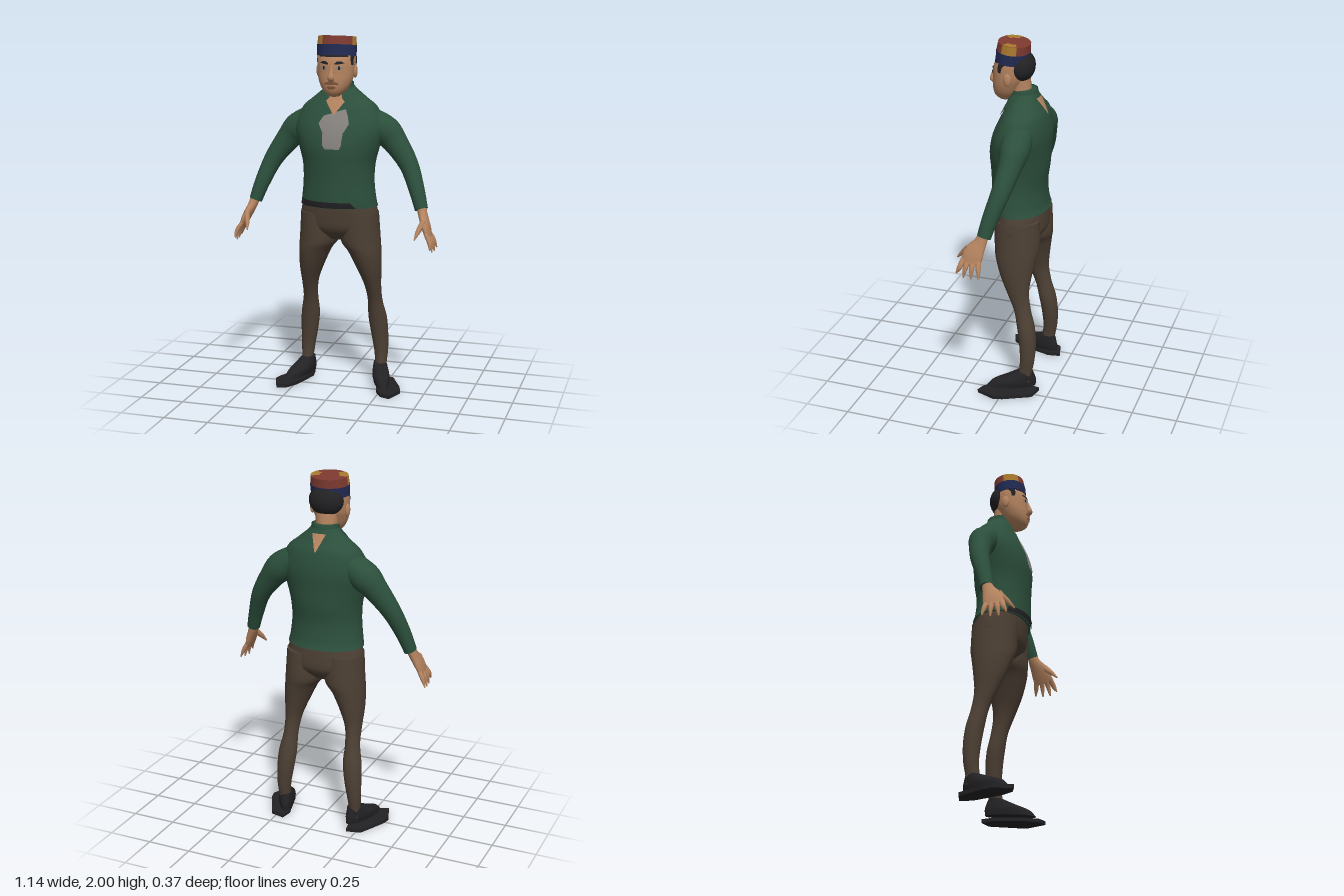
import * as THREE from 'three';

const mat = (name, color, side = THREE.FrontSide) => {
  const m = new THREE.MeshStandardMaterial({ color, side });
  m.name = name;
  return m;
};

// Joins rings of points into a capped, smooth skin
function skinRings(rings) {
  const n = rings[0].length, pos = [], idx = [];
  rings.forEach(r => r.forEach(p => pos.push(p.x, p.y, p.z)));
  for (let i = 0; i < rings.length - 1; i++)
    for (let j = 0; j < n; j++) {
      const a = i * n + j, b = i * n + (j + 1) % n;
      idx.push(a, b, a + n, b, b + n, a + n);
    }
  [rings[0], rings[rings.length - 1]].forEach((r, end) => {
    const s = pos.length / 3;
    r.forEach(p => pos.push(p.x, p.y, p.z));
    for (let j = 1; j < n - 1; j++) end ? idx.push(s, s + j, s + j + 1) : idx.push(s, s + j + 1, s + j);
  });
  const g = new THREE.BufferGeometry();
  g.setAttribute('position', new THREE.Float32BufferAttribute(pos, 3));
  g.setIndex(idx);
  g.computeVertexNormals();
  return g;
}

const curveOf = pts => new THREE.CatmullRomCurve3(pts.map(p => new THREE.Vector3(...p)), false, 'catmullrom');

// Smooths rows [y, xMin, xMax, zFront, zBack], listed from the top down
function smooth(rows, per = 4) {
  const a = curveOf(rows.map(r => r.slice(0, 3))), b = curveOf(rows.map(r => [r[3], r[4], 0]));
  const n = (rows.length - 1) * per;
  return Array.from({ length: n + 1 }, (_, i) => {
    const p = a.getPoint(i / n), q = b.getPoint(i / n);
    return [p.x, p.y, p.z, q.x, q.y];
  });
}
const even = rows => rows.map(([y, w, f, b]) => [y, -w, w, f, b]);

// Level oval sections stacked along y
const stack = (rows, n = 28) => skinRings(rows.map(([y, x0, x1, f, b]) =>
  Array.from({ length: n }, (_, j) => {
    const t = j / n * Math.PI * 2;
    return new THREE.Vector3((x0 + x1) / 2 + (x1 - x0) / 2 * Math.cos(t), y, (f + b) / 2 + (f - b) / 2 * Math.sin(t));
  })));

// Oval limb along points [x, y, z, half width, half depth]
function limb(pts, n = 16, per = 4) {
  const c = curveOf(pts.map(p => p.slice(0, 3))), r = curveOf(pts.map(p => [p[3], p[4], 0]));
  const steps = (pts.length - 1) * per, rings = [];
  for (let i = 0; i <= steps; i++) {
    const o = c.getPoint(i / steps), t = c.getTangent(i / steps), s = r.getPoint(i / steps);
    const v = new THREE.Vector3(0, 0, 1).addScaledVector(t, -t.z).normalize();
    const u = v.clone().cross(t).normalize();
    rings.push(Array.from({ length: n }, (_, j) => {
      const k = j / n * Math.PI * 2;
      return o.clone().addScaledVector(u, s.x * Math.cos(k)).addScaledVector(v, s.y * Math.sin(k));
    }));
  }
  return skinRings(rings);
}

// Thin patch, rows [y, xLeft, xRight] from the top down, laid on a stacked body
function drape(body, rows, lift = 0.004, back = false) {
  const cols = 8, fine = [], pos = [], idx = [];
  rows.forEach((r, i) => {
    if (i) for (let k = 1; k <= 4; k++) fine.push(r.map((v, q) => THREE.MathUtils.lerp(rows[i - 1][q], v, k / 4)));
    else fine.push(r);
  });
  fine.forEach(([y, l, r]) => {
    let i = body.findIndex(b => b[0] <= y);
    if (i < 1) i = i < 0 ? body.length - 1 : 1;
    const t = (body[i - 1][0] - y) / (body[i - 1][0] - body[i][0]);
    const [, x0, x1, f, b] = body[i].map((v, q) => THREE.MathUtils.lerp(body[i - 1][q], v, t));
    for (let c = 0; c <= cols; c++) {
      const x = THREE.MathUtils.lerp(back ? r : l, back ? l : r, c / cols);
      const k = (x - (x0 + x1) / 2) / ((x1 - x0) / 2);
      const bulge = (f - b) / 2 * Math.sqrt(Math.max(0, 1 - k * k)) + lift;
      pos.push(x, y, (f + b) / 2 + (back ? -bulge : bulge));
    }
  });
  for (let i = 0; i < fine.length - 1; i++)
    for (let c = 0; c < cols; c++) {
      const a = i * (cols + 1) + c, d = a + cols + 1;
      idx.push(a, d, a + 1, a + 1, d, d + 1);
    }
  const g = new THREE.BufferGeometry();
  g.setAttribute('position', new THREE.Float32BufferAttribute(pos, 3));
  g.setIndex(idx);
  g.computeVertexNormals();
  return g;
}

function mirror(geo) {
  const g = geo.clone().scale(-1, 1, 1);
  const a = g.index ? Array.from(g.index.array) : Array.from({ length: g.attributes.position.count }, (_, i) => i);
  for (let i = 0; i < a.length; i += 3) [a[i + 1], a[i + 2]] = [a[i + 2], a[i + 1]];
  g.setIndex(a);
  return g;
}

export function createModel() {
  const root = new THREE.Group();
  root.name = 'standingMan';
  const green = mat('sweaterGreen', 0x2c4f3c, THREE.DoubleSide), brown = mat('trouserBrown', 0x4d4034);
  const skin = mat('skin', 0xb58460), shade = mat('lipBrown', 0x80553c), black = mat('black', 0x222124);
  const grey = mat('shirtGrey', 0x85827e), red = mat('hatRed', 0x7e3a30);
  const gold = mat('hatGold', 0xa8792e), navy = mat('hatNavy', 0x222b55);
  const add = (name, geo, m, parent = root) => {
    const mesh = new THREE.Mesh(geo, m);
    mesh.name = name;
    parent.add(mesh);
    return mesh;
  };
  const pair = (name, geo, m) => { add(name + 'Left', geo, m); add(name + 'Right', mirror(geo), m); };

  // Sweater body and its patches
  const torso = smooth(even([
    [1.74, 0.06, 0.03, -0.10], [1.70, 0.095, 0.035, -0.115], [1.65, 0.155, 0.055, -0.14],
    [1.6, 0.212, 0.08, -0.165], [1.5, 0.25, 0.125, -0.18], [1.4, 0.23, 0.148, -0.175],
    [1.3, 0.205, 0.145, -0.17], [1.2, 0.2, 0.14, -0.157], [1.1, 0.21, 0.14, -0.165], [1.06, 0.218, 0.135, -0.177]]));
  add('sweater', stack(torso, 36), green);
  add('shirtPanel', drape(torso, [[1.60, 0.055, 0.065], [1.565, -0.055, 0.08], [1.525, -0.08, 0.09],
    [1.475, -0.052, 0.062], [1.41, -0.05, 0.055], [1.39, -0.035, 0.045]]), grey);
  add('hemTrim', drape(torso, [[1.095, -0.2, 0.1], [1.062, -0.2, 0.13]]), black);
  add('openNeck', drape(torso, [[1.72, -0.055, 0.055], [1.65, -0.06, 0.06], [1.575, -0.005, 0.005]]), skin);
  add('napeSkin', drape(torso, [[1.70, -0.04, 0.04], [1.61, -0.003, 0.003]], 0.004, true), skin);
  pair('collarFlap', drape(torso, [[1.72, 0.03, 0.08], [1.66, 0.035, 0.105], [1.605, 0.085, 0.095]], 0.009), green);
  const collar = new THREE.CylinderGeometry(0.074, 0.088, 0.08, 28, 1, true, 0.65, Math.PI * 2 - 1.3);
  add('collar', collar.translate(0, 1.7, -0.03), green);

  // Sleeves, cuffs and hands
  pair('sleeve', limb([[0.13, 1.55, -0.05, 0.07, 0.08], [0.245, 1.475, -0.06, 0.085, 0.08], [0.305, 1.415, -0.058, 0.07, 0.064],
    [0.39, 1.295, -0.035, 0.053, 0.052], [0.445, 1.165, 0.005, 0.043, 0.043], [0.478, 1.065, 0.03, 0.036, 0.038]], 20), green);
  pair('palm', limb([[0.475, 1.09, 0.03, 0.028, 0.028], [0.49, 1.04, 0.045, 0.025, 0.035],
    [0.515, 0.98, 0.075, 0.022, 0.056], [0.535, 0.925, 0.087, 0.014, 0.052]]), skin);
  [[0.045, 0.03, 0.86], [0.075, 0.075, 0.85], [0.1, 0.12, 0.85], [0.125, 0.16, 0.87]].forEach(([z0, z1, y], i) =>
    pair('finger' + (i + 1), limb([[0.525, 0.95, z0, 0.012, 0.016], [0.55, 0.905, (z0 + z1) / 2, 0.012, 0.014],
      [0.567 - i * 0.004, y, z1, 0.003, 0.004]], 8), skin));
  pair('thumb', limb([[0.505, 1.01, 0.1, 0.016, 0.02], [0.487, 0.965, 0.145, 0.013, 0.014], [0.475, 0.925, 0.182, 0.003, 0.004]], 8), skin);

  // Trousers
  add('hips', stack(smooth(even([[1.1, 0.2, 0.125, -0.155], [1.0, 0.222, 0.115, -0.165],
    [0.93, 0.21, 0.1, -0.16], [0.87, 0.09, 0.05, -0.11]])), 32), brown);
  pair('trouserLeg', stack(smooth([[1.02, 0.01, 0.22, 0.1, -0.155], [0.87, 0.006, 0.23, 0.095, -0.16],
    [0.8, 0.052, 0.235, 0.083, -0.147], [0.7, 0.1, 0.236, 0.05, -0.13], [0.6, 0.138, 0.23, 0.005, -0.12],
    [0.5, 0.15, 0.232, -0.038, -0.135], [0.4, 0.147, 0.252, -0.06, -0.16], [0.3, 0.16, 0.258, -0.075, -0.17],
    [0.2, 0.178, 0.258, -0.083, -0.165], [0.12, 0.187, 0.252, -0.075, -0.152], [0.07, 0.185, 0.255, -0.06, -0.155]]), 24), brown);

  // Shoes and their flat soles
  const shoe = stack(smooth([[0.13, -0.036, 0.036, -0.085, -0.16], [0.1, -0.043, 0.043, -0.01, -0.172],
    [0.07, -0.048, 0.048, 0.065, -0.18], [0.035, -0.042, 0.042, 0.1, -0.178]]), 24);
  pair('shoe', shoe.rotateY(0.34).translate(0.255, 0, 0), black);
  const outline = [[0.2, -0.19], [0.28, -0.17], [0.355, -0.02], [0.368, 0.03], [0.33, 0.135], [0.275, 0.115], [0.235, 0.05], [0.188, -0.12]];
  const sole = new THREE.ExtrudeGeometry(new THREE.Shape(outline.map(([x, z]) => new THREE.Vector2(x, -z))),
    { depth: 0.02, bevelEnabled: false });
  pair('sole', sole.rotateX(-Math.PI / 2), black);

  // Neck and head
  add('neck', stack(smooth(even([[1.82, 0.065, 0.05, -0.06], [1.72, 0.06, 0.045, -0.072], [1.6, 0.062, 0.03, -0.08]]))), skin);
  const head = smooth(even([[1.93, 0.085, 0.1, -0.04], [1.89, 0.102, 0.123, -0.058], [1.85, 0.105, 0.136, -0.06],
    [1.8, 0.102, 0.138, -0.05], [1.76, 0.093, 0.14, -0.03], [1.72, 0.076, 0.138, -0.01],
    [1.69, 0.052, 0.128, 0.015], [1.67, 0.025, 0.105, 0.04]]));
  add('head', stack(head, 32), skin);
  add('nose', limb([[0, 1.84, 0.13, 0.009, 0.009], [0, 1.80, 0.142, 0.013, 0.012],
    [0, 1.775, 0.147, 0.02, 0.015], [0, 1.757, 0.138, 0.012, 0.008]], 12), skin);
  pair('ear', new THREE.SphereGeometry(1, 14, 10).scale(0.012, 0.036, 0.022).translate(0.103, 1.805, 0.03), skin);
  pair('eyebrow', drape(head, [[1.862, 0.03, 0.055], [1.852, 0.018, 0.068], [1.846, 0.018, 0.03]]), black);
  pair('eyeWhite', drape(head, [[1.836, 0.035, 0.05], [1.826, 0.024, 0.062], [1.818, 0.035, 0.05]], 0.003), grey);
  pair('iris', drape(head, [[1.836, 0.038, 0.048], [1.818, 0.038, 0.048]], 0.005), black);
  add('moustache', drape(head, [[1.756, -0.012, 0.012], [1.748, -0.035, 0.035], [1.738, -0.042, 0.042]]), shade);
  add('lips', drape(head, [[1.73, -0.016, 0.016], [1.722, -0.026, 0.026], [1.714, -0.014, 0.014]]), shade);

  // Hair behind the ears, with a hairline and sideburns
  add('hair', new THREE.SphereGeometry(1, 24, 16).scale(0.098, 0.083, 0.068).translate(0, 1.86, -0.02), black);
  add('hairline', drape(head, [[1.91, -0.1, 0.1], [1.885, -0.1, 0.1]], 0.003), black);
  pair('sideburn', drape(head, [[1.9, 0.088, 0.103], [1.84, 0.096, 0.102]], 0.005), black);

  // Round hat: navy band, red crown with gold panels
  const hat = new THREE.Group();
  hat.name = 'hat';
  hat.position.set(0, 1.885, 0.035);
  hat.rotation.x = -0.12;
  root.add(hat);
  const oval = (g, y) => g.scale(1, 1, 0.82).translate(0, y, 0);
  add('hatBand', oval(new THREE.CylinderGeometry(0.11, 0.108, 0.058, 40), 0.029), navy, hat);
  const rad = THREE.MathUtils.degToRad;
  [[-95, -35, gold], [-35, 65, red], [65, 120, gold], [120, 265, red]].forEach(([a, b, m], i) => {
    add('hatSide' + (i + 1), oval(new THREE.CylinderGeometry(0.104, 0.108, 0.046, 16, 1, true, rad(a), rad(b - a)), 0.081), m, hat);
    if (m === gold) {
      const panel = new THREE.RingGeometry(0.055, 0.1035, 14, 1, rad(a - 90), rad(b - a)).rotateX(-Math.PI / 2);
      add('hatTopPanel' + (i + 1), oval(panel, 0.106), gold, hat);
    }
  });
  add('hatTop', oval(new THREE.CircleGeometry(0.104, 40).rotateX(-Math.PI / 2), 0.104), red, hat);
  return root;
}
